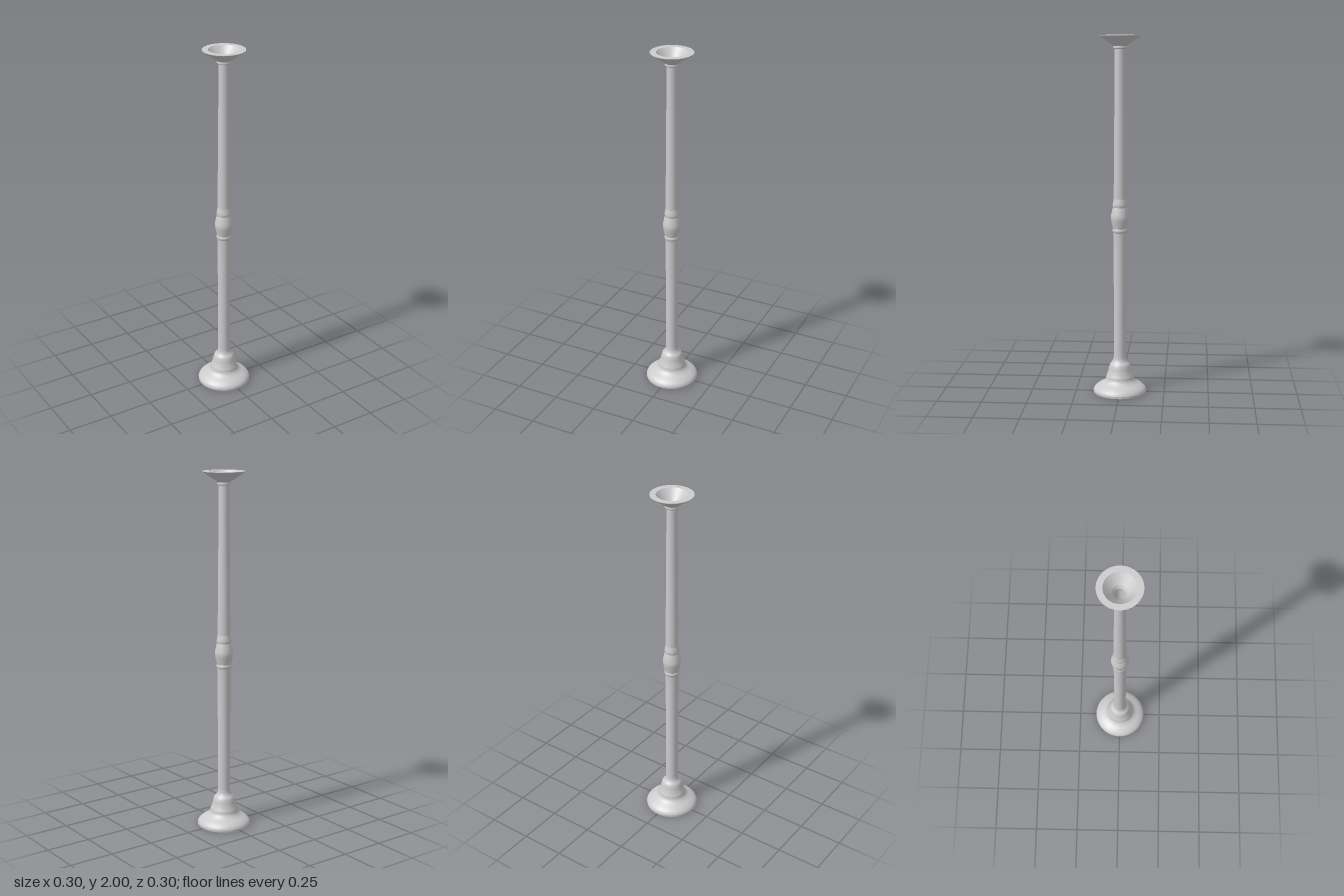
import * as THREE from 'three';

const SEGMENTS = 64;
const material = new THREE.MeshStandardMaterial({ color: 0xcccccc, side: THREE.DoubleSide });

// Turned part from [radius, height] pairs; optionally smoothed by a spline.
// Profiles run upwards on outer faces and downwards on inner faces.
function turned(name, profile, smooth = 0) {
  let points = profile.map(([r, y]) => new THREE.Vector2(r, y));
  if (smooth) points = new THREE.SplineCurve(points).getPoints(smooth);
  const mesh = new THREE.Mesh(new THREE.LatheGeometry(points, SEGMENTS), material);
  mesh.name = name;
  return mesh;
}

export function createModel() {
  const column = new THREE.Group();
  column.name = 'turnedColumn';

  // Stepped, bell-shaped base
  column.add(
    turned('baseRim', [[0.149, 0], [0.15, 0.012]]),
    turned('baseFlare', [[0.15, 0.012], [0.143, 0.026], [0.125, 0.041], [0.1, 0.055], [0.085, 0.068], [0.079, 0.08]], 20),
    turned('baseMiddleStep', [[0.079, 0.08], [0.077, 0.092], [0.07, 0.11], [0.064, 0.13]], 14),
    turned('baseUpperStep', [[0.064, 0.13], [0.061, 0.145], [0.055, 0.162], [0.044, 0.175], [0.037, 0.19], [0.035, 0.21]], 20)
  );

  // Lower shaft, middle knop and tapering upper shaft
  column.add(
    turned('lowerShaft', [[0.035, 0.21], [0.035, 0.6], [0.036, 0.85], [0.038, 0.915]]),
    turned('lowerBead', [[0.038, 0.915], [0.041, 0.922], [0.042, 0.93], [0.039, 0.938]], 10),
    turned('middleKnop', [[0.039, 0.938], [0.044, 0.96], [0.05, 0.99], [0.05, 1.01], [0.044, 1.04], [0.039, 1.058]], 24),
    turned('upperBead', [[0.039, 1.058], [0.041, 1.07], [0.039, 1.085], [0.035, 1.105]], 12),
    turned('upperShaft', [[0.035, 1.105], [0.034, 1.3], [0.032, 1.5], [0.03, 1.72], [0.029, 1.924]])
  );

  // Neck ring and flared cup
  column.add(
    turned('neckRing', [[0.029, 1.924], [0.036, 1.927], [0.038, 1.932], [0.036, 1.938], [0.036, 1.941]]),
    turned('cupOutside', [[0.036, 1.941], [0.043, 1.947], [0.07, 1.966], [0.1, 1.986], [0.115, 1.998]], 16),
    turned('cupEdge', [[0.115, 1.998], [0.115, 2]]),
    turned('cupRim', [[0.115, 2], [0.083, 2]]),
    turned('cupInside', [[0.083, 2], [0.06, 1.972], [0.037, 1.946]]),
    turned('cupThroat', [[0.037, 1.946], [0.033, 1.936], [0.028, 1.928]])
  );

  // Through bore, widening inside the base, and the flat underside
  column.add(
    turned('bore', [[0.028, 1.928], [0.028, 0.2]]),
    turned('baseHollow', [[0.028, 0.2], [0.045, 0.12], [0.058, 0]]),
    turned('underside', [[0.058, 0], [0.149, 0]])
  );
  return column;
}
